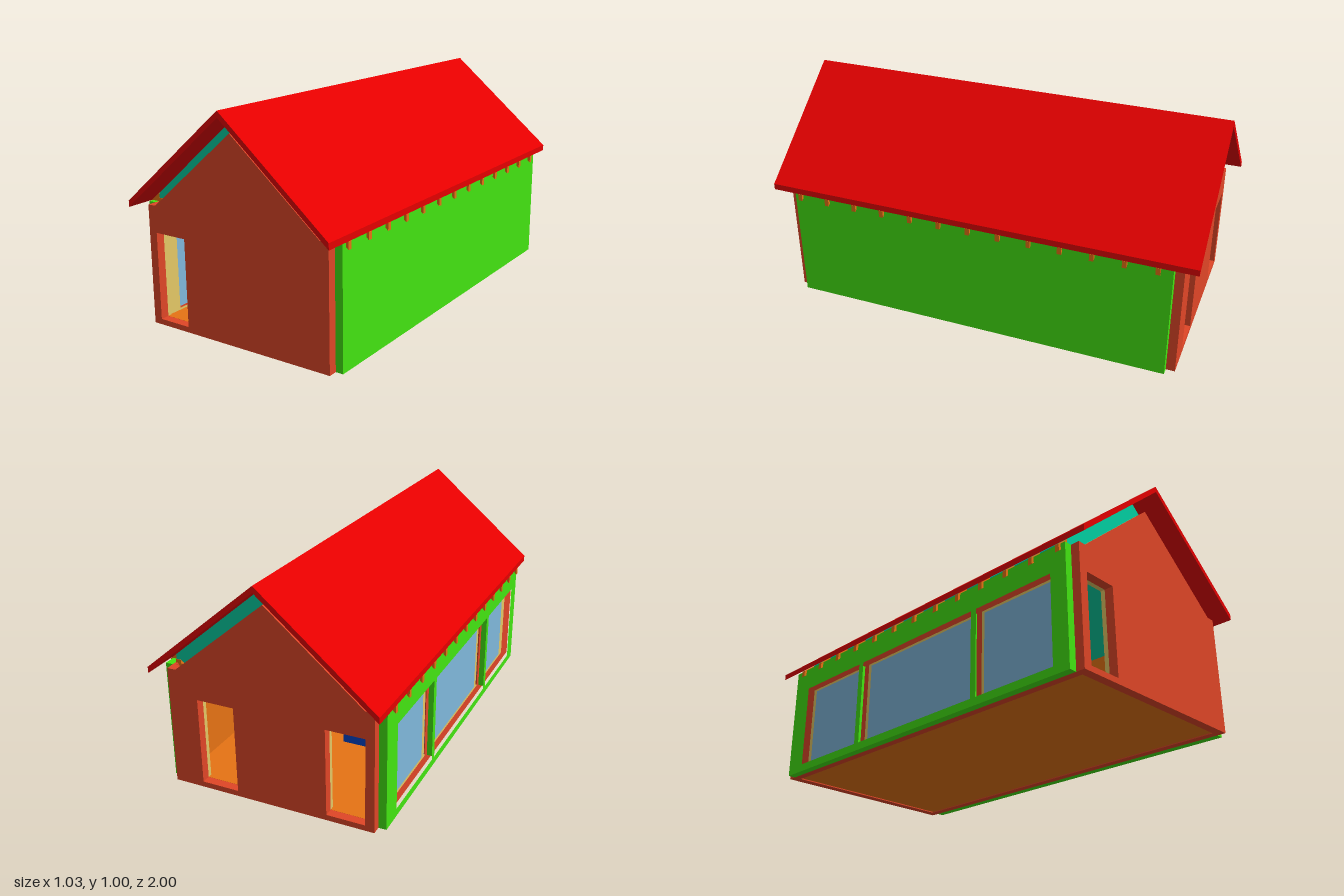
import * as THREE from 'three';

const paint = (name, color) => {
  const m = new THREE.MeshStandardMaterial({ color });
  m.name = name;
  return m;
};

export function createModel() {
  const house = new THREE.Group();
  house.name = 'house';
  const brick = paint('terracotta', 0xe04627);
  const green = paint('green', 0x43e512);
  const red = paint('roof red', 0xe40000);
  const teal = paint('insulation teal', 0x00d0a2);
  const wood = paint('wood orange', 0xe67314);
  const tan = paint('plaster tan', 0xe4c866);
  const blue = paint('partition blue', 0x0044c8);
  const glass = paint('glass blue', 0x80b8dc);

  const v2 = (pts) => pts.map(([x, y]) => new THREE.Vector2(x, y));
  const rect = (x0, x1, y0, y1) => [[x0, y0], [x1, y0], [x1, y1], [x0, y1]];

  function slab(pts, holes, depth) {
    const shape = new THREE.Shape(v2(pts));
    holes.forEach((h) => shape.holes.push(new THREE.Path(v2(h))));
    return new THREE.ExtrudeGeometry(shape, { depth, bevelEnabled: false });
  }
  function add(name, geometry, material) {
    const mesh = new THREE.Mesh(geometry, material);
    mesh.name = name;
    house.add(mesh);
  }
  // slab drawn in x-y, filling z0..z1
  const across = (name, pts, holes, z0, z1, mat) =>
    add(name, slab(pts, holes, z1 - z0).translate(0, 0, z0), mat);
  // slab drawn in z-y, filling x0..x1
  const along = (name, pts, holes, x0, x1, mat) => {
    const flip = (p) => p.map(([z, y]) => [-z, y]);
    add(name, slab(flip(pts), holes.map(flip), x1 - x0).rotateY(Math.PI / 2).translate(x0, 0, 0), mat);
  };

  // gable walls, their plaster lining and the inner partition
  const gable = [[-0.47, 0], [0.47, 0], [0.47, 0.54], [0.43, 0.54], [0, 0.9], [-0.43, 0.54], [-0.47, 0.54]];
  const lining = [[-0.435, 0.02], [0.435, 0.02], [0.43, 0.54], [0, 0.9], [-0.43, 0.54]];
  const door = (x0, x1) => rect(x0, x1, 0.025, 0.42);
  const frontDoors = [door(-0.43, -0.27)];
  const backDoors = [door(-0.43, -0.257), door(0.16, 0.333)];
  across('frontWall', gable, frontDoors, 0.895, 0.935, brick);
  across('backWall', gable, backDoors, -0.935, -0.895, brick);
  across('frontLining', lining, frontDoors, 0.875, 0.895, tan);
  across('backLining', lining, backDoors, -0.895, -0.875, tan);
  across('partition', lining, [door(-0.43, -0.257), door(-0.07, 0.11)], -0.385, -0.36, blue);

  // long walls: plain on the left, three windows on the right
  const long = rect(-0.895, 0.895, 0, 0.54);
  const inner = rect(-0.875, 0.875, 0.02, 0.54);
  const windows = [[-0.79, -0.38], [-0.35, 0.375], [0.405, 0.815]]
    .map(([a, b]) => rect(a, b, 0.035, 0.43));
  along('leftCladding', long, [], 0.47, 0.505, green);
  along('leftCore', long, [], 0.455, 0.47, brick);
  along('leftLining', inner, [], 0.435, 0.455, wood);
  along('rightCladding', long, windows, -0.505, -0.47, green);
  along('rightCore', long, windows, -0.47, -0.455, brick);
  along('rightLining', inner, windows, -0.455, -0.435, tan);
  windows.forEach((w) => along('windowPane', w, [], -0.456, -0.45, glass));

  // floor
  add('floor', new THREE.BoxGeometry(0.87, 0.0205, 1.79).translate(0, 0.0153, 0), wood);

  // roof covering and the insulation below it
  across('roof', [[0, 1], [-0.517, 0.565], [-0.517, 0.537], [0, 0.972], [0.517, 0.537], [0.517, 0.565]],
    [], -1, 1, red);
  across('insulation', [[0, 0.971], [-0.465, 0.578], [-0.465, 0.556], [-0.442, 0.556], [-0.425, 0.543],
    [0, 0.899], [0.425, 0.543], [0.442, 0.556], [0.465, 0.556], [0.465, 0.578]], [], -0.873, 0.873, teal);

  // floor kerbs, wall plates and rafter tails on both sides
  for (const s of [-1, 1]) {
    add('kerb', new THREE.BoxGeometry(0.02, 0.02, 1.79).translate(s * 0.445, 0.01, 0), brick);
    add('wallPlate', new THREE.BoxGeometry(0.025, 0.016, 1.75).translate(s * 0.455, 0.548, 0), wood);
    for (let i = 0; i < 13; i++) {
      const z = 0.863 - i * 0.1413;
      const tail = [[0.517, 0.503], [0.517, 0.536], [0.466, 0.578], [0.466, 0.545]].map(([x, y]) => [s * x, y]);
      across('rafterTail', tail, [], z - 0.01, z + 0.01, wood);
    }
  }
  return house;
}
